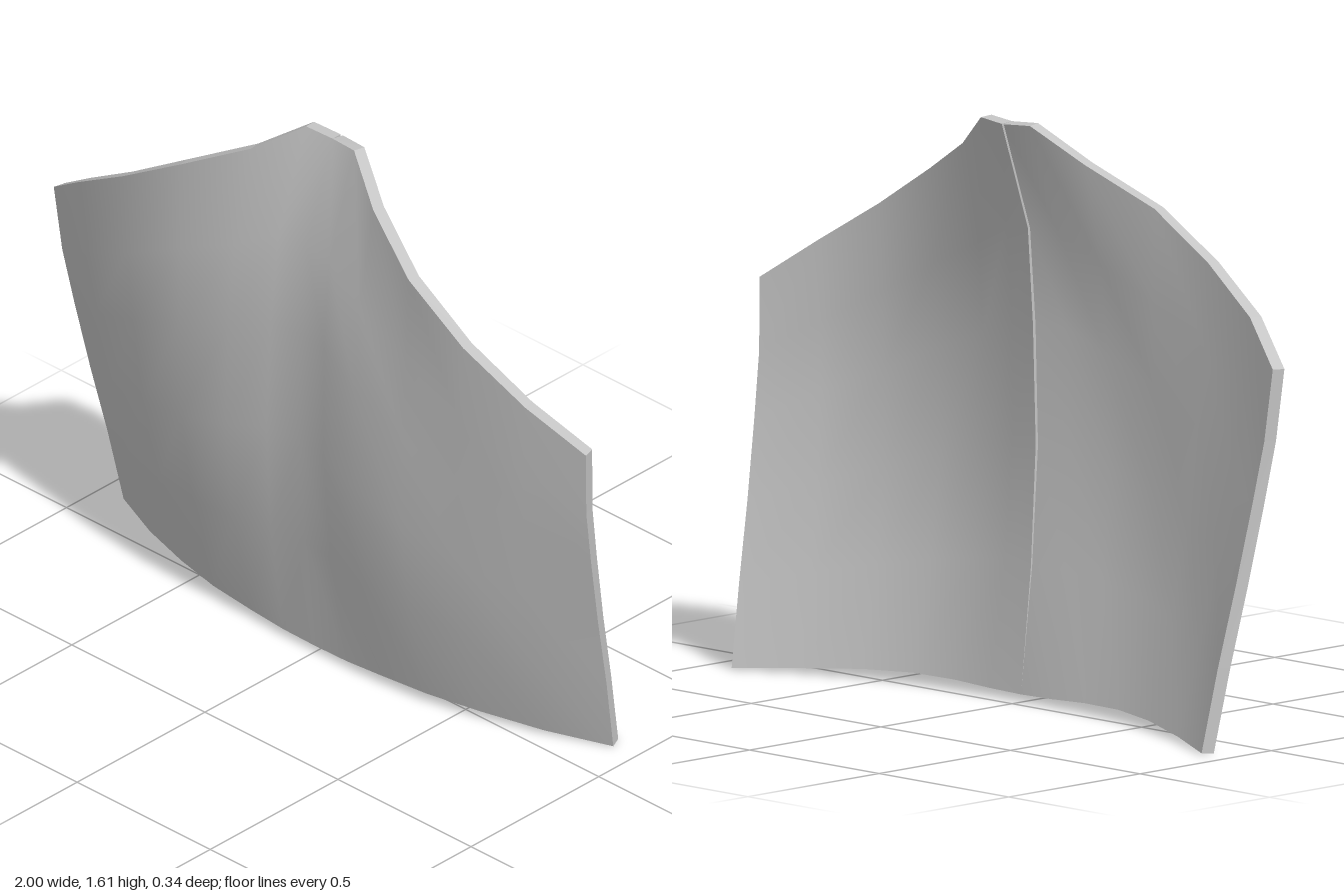
import * as THREE from 'three';

const THICKNESS = 0.036;

// Half outline: x and y of each column along the top and bottom edges
const topX = [0, 0.09, 0.23, 0.43, 0.64, 0.84, 1];
const topY = [1.605, 1.61, 1.51, 1.405, 1.28, 1.16, 1.045];
const bottomX = [0, 0.12, 0.25, 0.4, 0.56, 0.74, 0.92];
const bottomY = [0.02, 0.022, 0.028, 0.03, 0.025, 0.012, 0];

// Depth of each cross-section, from top to bottom, centre to side
const sections = [
  { t: 1, z: [0, 0.01, 0.08, 0.15, 0.155, 0.12, 0.05] },
  { t: 0.81, z: [0.1, 0.112, 0.14, 0.155, 0.155, 0.11, 0.033] },
  { t: 0.64, z: [0.12, 0.138, 0.162, 0.165, 0.145, 0.09, 0] },
  { t: 0.43, z: [0.13, 0.148, 0.168, 0.165, 0.125, 0.055, -0.045] },
  { t: 0.22, z: [0.11, 0.125, 0.137, 0.125, 0.08, 0.01, -0.095] },
  { t: 0, z: [0.07, 0.07, 0.065, 0.05, 0.01, -0.055, -0.14] },
];
const rows = sections.length;
const cols = topX.length;
const at = (i, j) => i * cols + j;

function surface(points, flip) {
  const index = [];
  for (let i = 0; i < rows - 1; i++) {
    for (let j = 0; j < cols - 1; j++) {
      const a = at(i, j), b = at(i + 1, j), c = at(i + 1, j + 1), d = at(i, j + 1);
      if (flip) index.push(a, c, b, a, d, c);
      else index.push(a, b, c, a, c, d);
    }
  }
  const geometry = new THREE.BufferGeometry().setFromPoints(points);
  geometry.setIndex(index);
  geometry.computeVertexNormals();
  return geometry;
}

// Flat strip joining the front and back sheets around the outline
function rimSurface(front, back, flip) {
  const loop = [];
  for (let i = 0; i < rows - 1; i++) loop.push(at(i, 0));
  for (let j = 0; j < cols - 1; j++) loop.push(at(rows - 1, j));
  for (let i = rows - 1; i > 0; i--) loop.push(at(i, cols - 1));
  for (let j = cols - 1; j > 0; j--) loop.push(at(0, j));
  const points = [];
  loop.forEach((p, k) => {
    const q = loop[(k + 1) % loop.length];
    if (flip) points.push(front[p], front[q], back[p], front[q], back[q], back[p]);
    else points.push(front[p], back[p], front[q], front[q], back[p], back[q]);
  });
  const geometry = new THREE.BufferGeometry().setFromPoints(points);
  geometry.computeVertexNormals();
  return geometry;
}

function buildHalf(side, material) {
  const mirrored = side < 0;
  const front = [];
  for (const { t, z } of sections) {
    for (let j = 0; j < cols; j++) {
      front.push(new THREE.Vector3(
        side * THREE.MathUtils.lerp(bottomX[j], topX[j], t),
        THREE.MathUtils.lerp(bottomY[j], topY[j], t),
        z[j],
      ));
    }
  }
  const outer = surface(front, mirrored);
  const normals = outer.attributes.normal;

  // Back sheet is offset inwards, leaving a fine groove at the centre
  const back = front.map((p, k) => {
    const n = new THREE.Vector3().fromBufferAttribute(normals, k);
    n.set(n.x * 0.8, n.y * 0.3, n.z).normalize();
    return p.clone().addScaledVector(n, -THICKNESS);
  });

  // Keep the front shading smooth across the centre line
  for (let i = 0; i < rows; i++) {
    const k = at(i, 0);
    const n = new THREE.Vector3(0, normals.getY(k), normals.getZ(k)).normalize();
    normals.setXYZ(k, n.x, n.y, n.z);
  }

  const half = new THREE.Group();
  half.name = mirrored ? 'rightHalf' : 'leftHalf';
  const parts = {
    frontSheet: outer,
    backSheet: surface(back, !mirrored),
    rim: rimSurface(front, back, mirrored),
  };
  for (const [name, geometry] of Object.entries(parts)) {
    const mesh = new THREE.Mesh(geometry, material);
    mesh.name = name;
    half.add(mesh);
  }
  return half;
}

export function createModel() {
  const plateGrey = new THREE.MeshStandardMaterial({ color: 0xc4c4c4 });
  plateGrey.name = 'plateGrey';
  const plate = new THREE.Group();
  plate.name = 'curvedPlate';
  plate.add(buildHalf(1, plateGrey), buildHalf(-1, plateGrey));
  return plate;
}
